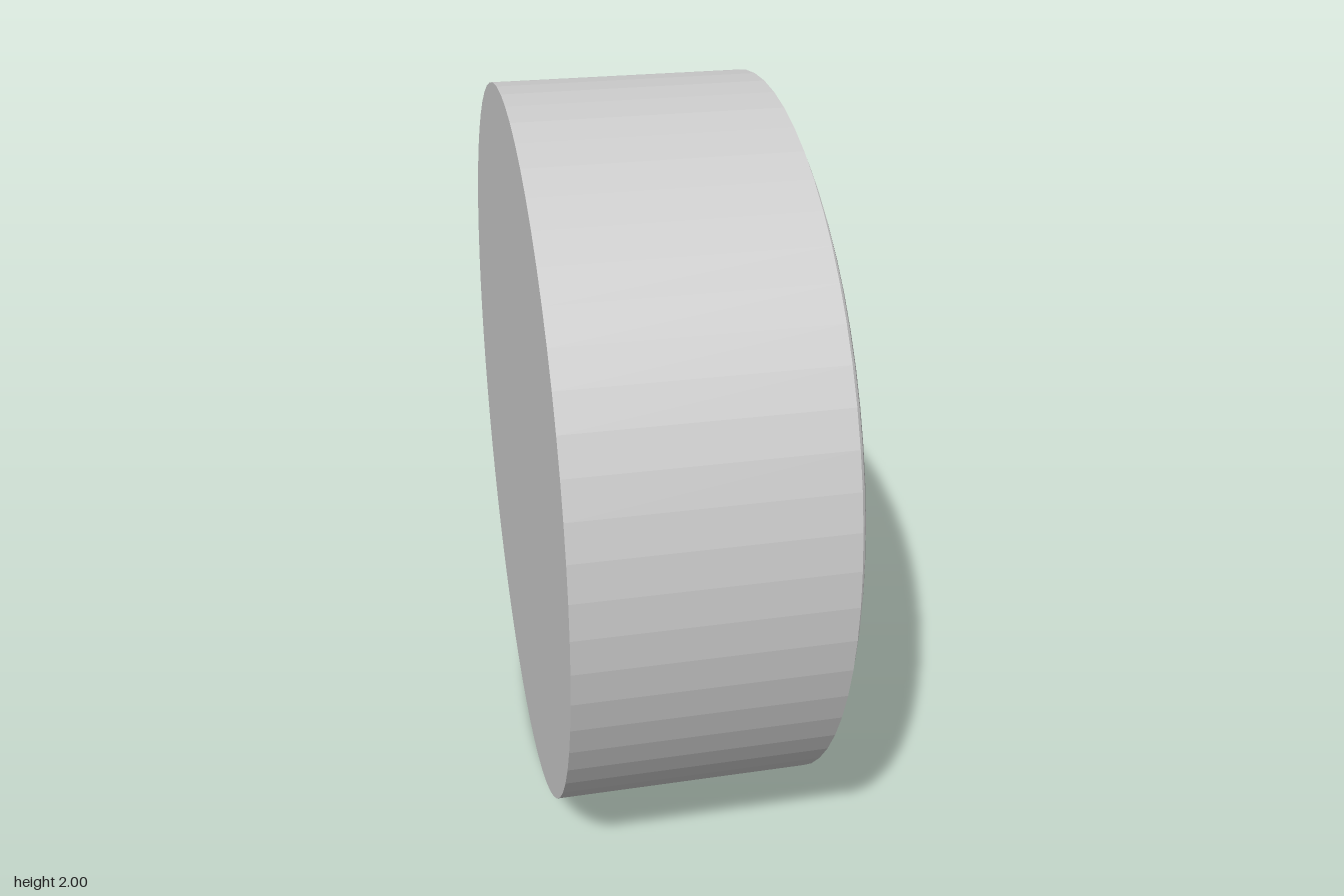
import * as THREE from 'three';

const SEGMENTS = 64;
const material = new THREE.MeshStandardMaterial({ color: 0xcccccc, flatShading: true });

// Turns a profile of [radius, x] points around the wheel axis (x).
function turned(name, profile) {
  const points = profile.map(([r, x]) => new THREE.Vector2(r, x));
  const geometry = new THREE.LatheGeometry(points, SEGMENTS);
  geometry.rotateZ(-Math.PI / 2);
  const mesh = new THREE.Mesh(geometry, material);
  mesh.name = name;
  return mesh;
}

export function createModel() {
  const wheel = new THREE.Group();
  wheel.name = 'wheel';

  // Plain drum with a flat closed back and a narrow front edge
  wheel.add(turned('tread', [[0, -0.405], [1, -0.405], [1, 0.29], [0.97, 0.29], [0.965, 0.28]]));

  // Domed front wall rolling inwards to the hub opening
  wheel.add(turned('sidewall', [
    [0.965, 0.28], [0.967, 0.298], [0.958, 0.309], [0.935, 0.318], [0.885, 0.327],
    [0.82, 0.332], [0.76, 0.328], [0.70, 0.313], [0.655, 0.285], [0.615, 0.25],
  ]));

  // Stepped lip around the opening
  wheel.add(turned('innerLip', [
    [0.615, 0.25], [0.61, 0.245], [0.60, 0.252], [0.585, 0.25], [0.575, 0.242],
    [0.567, 0.225], [0.55, 0.18], [0.54, 0.165],
  ]));

  // Conical collar rising from the trough to the hub
  wheel.add(turned('collar', [
    [0.54, 0.165], [0.53, 0.17], [0.472, 0.28], [0.465, 0.295], [0.457, 0.302], [0.435, 0.305],
  ]));

  // Raised hub with a blind bore
  wheel.add(turned('hub', [[0.435, 0.305], [0.435, 0.405], [0.3, 0.405], [0.3, 0.195], [0, 0.195]]));

  wheel.position.y = 1;
  const model = new THREE.Group();
  model.add(wheel);
  return model;
}
